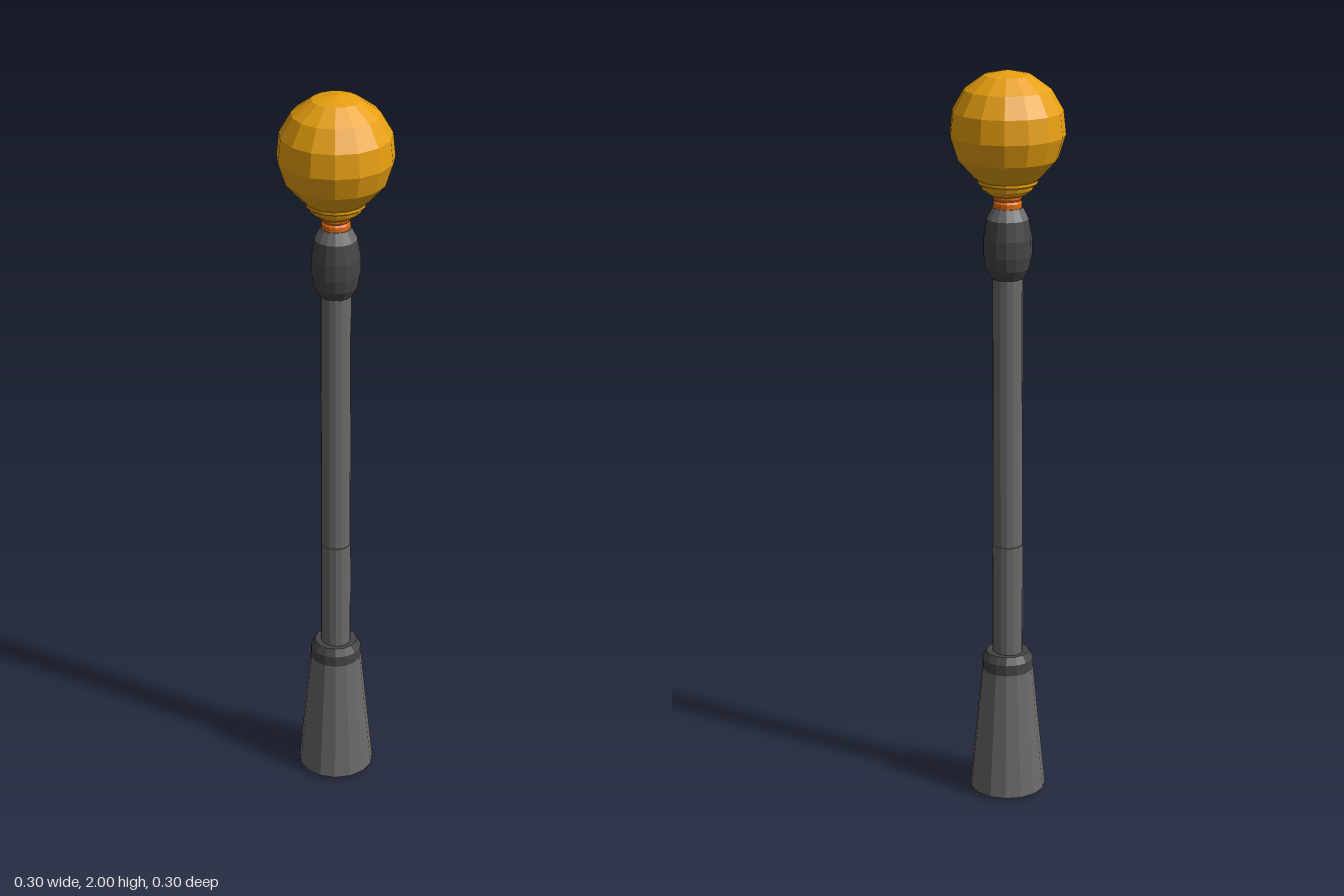
import * as THREE from 'three';

const mat = (name, color) => {
  const m = new THREE.MeshStandardMaterial({ color });
  m.name = name;
  return m;
};

// Faceted turned part from a bottom-to-top [radius, height] profile
function turned(name, profile, material, sides = 15) {
  const points = profile.map(([r, y]) => new THREE.Vector2(r, y));
  const geometry = new THREE.LatheGeometry(points, sides, Math.PI).toNonIndexed();
  geometry.computeVertexNormals();
  const mesh = new THREE.Mesh(geometry, material);
  mesh.name = name;
  return mesh;
}

export function createModel() {
  const lamp = new THREE.Group();
  lamp.name = 'streetLamp';

  const amber = mat('amber glass', 0xe8a010);
  const orange = mat('orange fitting', 0xdf6a10);
  const grey = mat('grey metal', 0x6b6969);
  const dark = mat('dark metal', 0x454545);

  // Tapered foot with a slightly domed underside
  lamp.add(turned('footUnderside', [[0, 0], [0.104, 0.01]], dark));
  lamp.add(turned('foot', [[0.104, 0.01], [0.07, 0.36]], grey));
  lamp.add(turned('footCollar',
    [[0.07, 0.36], [0.07, 0.39], [0.058, 0.41], [0.036, 0.41]], dark));

  // Pole and its slightly deeper lower sleeve
  lamp.add(turned('pole', [[0.04, 0.4], [0.04, 1.47]], grey));
  const sleeve = turned('poleSleeve', [[0.041, 0.4], [0.041, 0.72], [0.036, 0.72]], grey);
  sleeve.scale.z = 1.08;
  lamp.add(sleeve);

  // Rounded socket under the lamp
  lamp.add(turned('socket', [[0.036, 1.455], [0.044, 1.46], [0.058, 1.485],
    [0.064, 1.52], [0.064, 1.565], [0.055, 1.615]], dark));
  lamp.add(turned('socketCap', [[0.055, 1.615], [0.04, 1.645], [0, 1.645]], grey));

  // Orange neck with a small bead
  lamp.add(turned('neck', [[0.038, 1.64], [0.038, 1.658], [0.034, 1.664],
    [0.038, 1.67], [0.038, 1.69]], orange));

  // Flared holder for the globe
  lamp.add(turned('globeHolder', [[0.03, 1.676], [0.046, 1.678], [0.067, 1.694],
    [0.07, 1.703], [0.078, 1.709], [0.078, 1.717], [0.06, 1.717]], amber));

  // Globe, open at the bottom where it sits in the holder
  const globe = [[0.064, 1.708]];
  for (let i = 6; i >= 0; i--) {
    const a = THREE.MathUtils.degToRad(24 * i);
    globe.push([0.151 * Math.sin(a), 1.849 + 0.151 * Math.cos(a)]);
  }
  lamp.add(turned('globe', globe, amber));

  return lamp;
}
